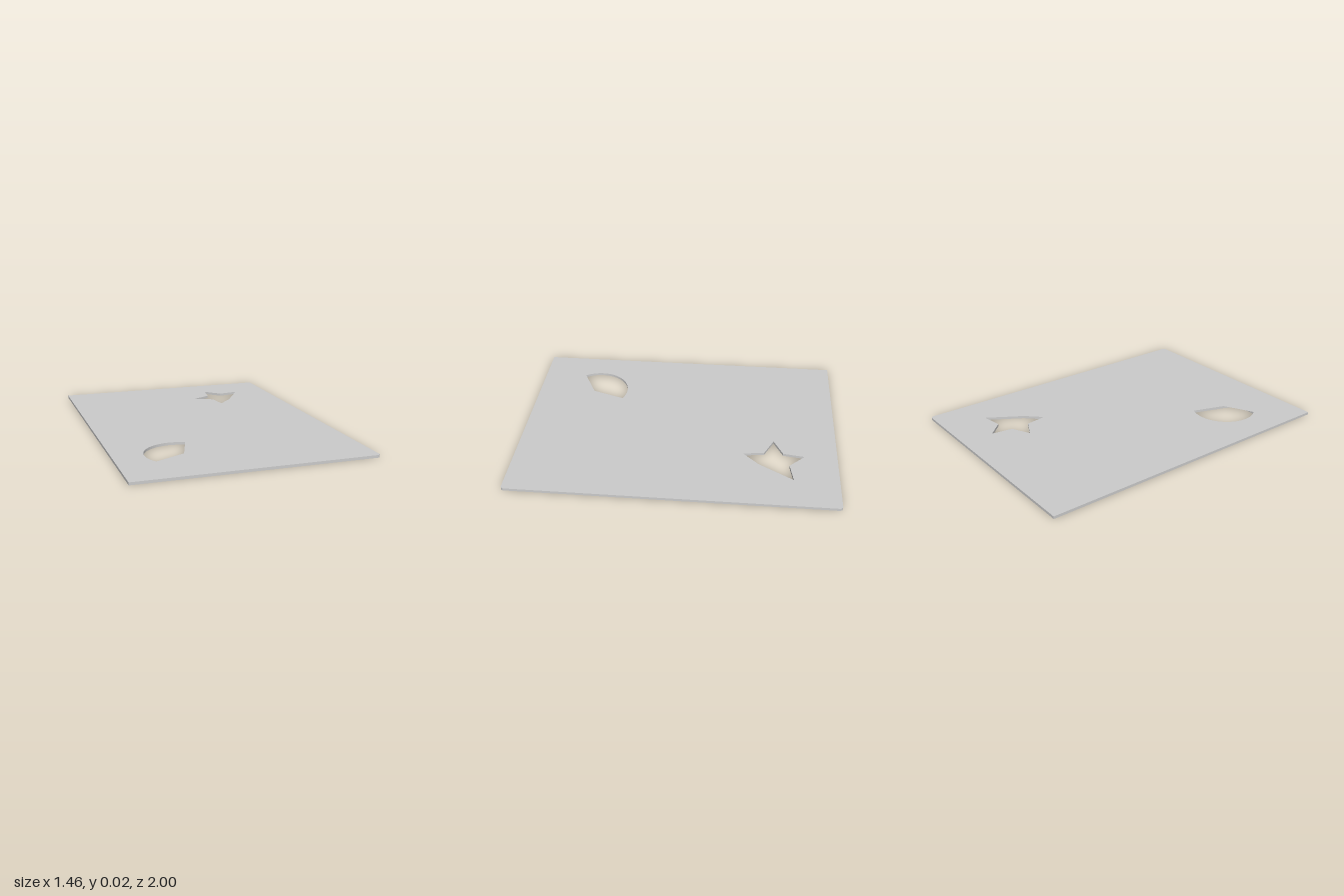
import * as THREE from 'three';

const W = 0.728, L = 1, T = 0.016, R = 0.02;

// Shapes are drawn in plan (x, z) and laid flat, with the top at y = T.
const layFlat = (geometry) => geometry.rotateX(Math.PI / 2).translate(0, T, 0);

export function createModel() {
  const group = new THREE.Group();
  const material = new THREE.MeshStandardMaterial({ color: 0xcccccc });

  // Sheet outline: square corners on the right, small rounded ones on the left
  const outline = new THREE.Shape();
  outline.moveTo(-W, -L);
  outline.lineTo(W - R, -L);
  outline.absarc(W - R, -L + R, R, -Math.PI / 2, 0, false);
  outline.absarc(W - R, L - R, R, 0, Math.PI / 2, false);
  outline.lineTo(-W, L);
  outline.closePath();

  // Star cut-out with its front left tip left uncut
  const star = new THREE.Path();
  for (let i = 0; i < 8; i++) {
    const a = Math.PI / 5 * (i + 2), r = i % 2 ? 0.2 : 0.1;
    const x = 0.34 + r * Math.cos(a), z = -0.608 + r * Math.sin(a);
    if (i === 0) star.moveTo(x, z);
    else star.lineTo(x, z);
  }
  // The loop ends on the back left tip, which closes straight to the first notch
  star.closePath();

  // Round cut-out with a wedge left in it
  const wedge = [[-0.51, 0.72], [-0.36, 0.72], [-0.32, 0.625]];
  const sector = new THREE.Path();
  sector.absarc(-0.342, 0.6, 0.203, -1.1, -3.77, true);
  wedge.forEach(([x, z]) => sector.lineTo(x, z));
  sector.closePath();

  outline.holes.push(star, sector);
  const sheet = new THREE.Mesh(
    layFlat(new THREE.ExtrudeGeometry(outline, { depth: T, bevelEnabled: false, curveSegments: 16 })),
    material);
  sheet.name = 'sheet';

  // Thin web closing the top over the relieved edge of the round cut-out
  const web = new THREE.Mesh(
    layFlat(new THREE.ShapeGeometry(new THREE.Shape(wedge.map(([x, z]) => new THREE.Vector2(x, z))))),
    new THREE.MeshStandardMaterial({ color: 0xcccccc, side: THREE.DoubleSide }));
  web.name = 'cutoutWeb';

  group.add(sheet, web);
  return group;
}
